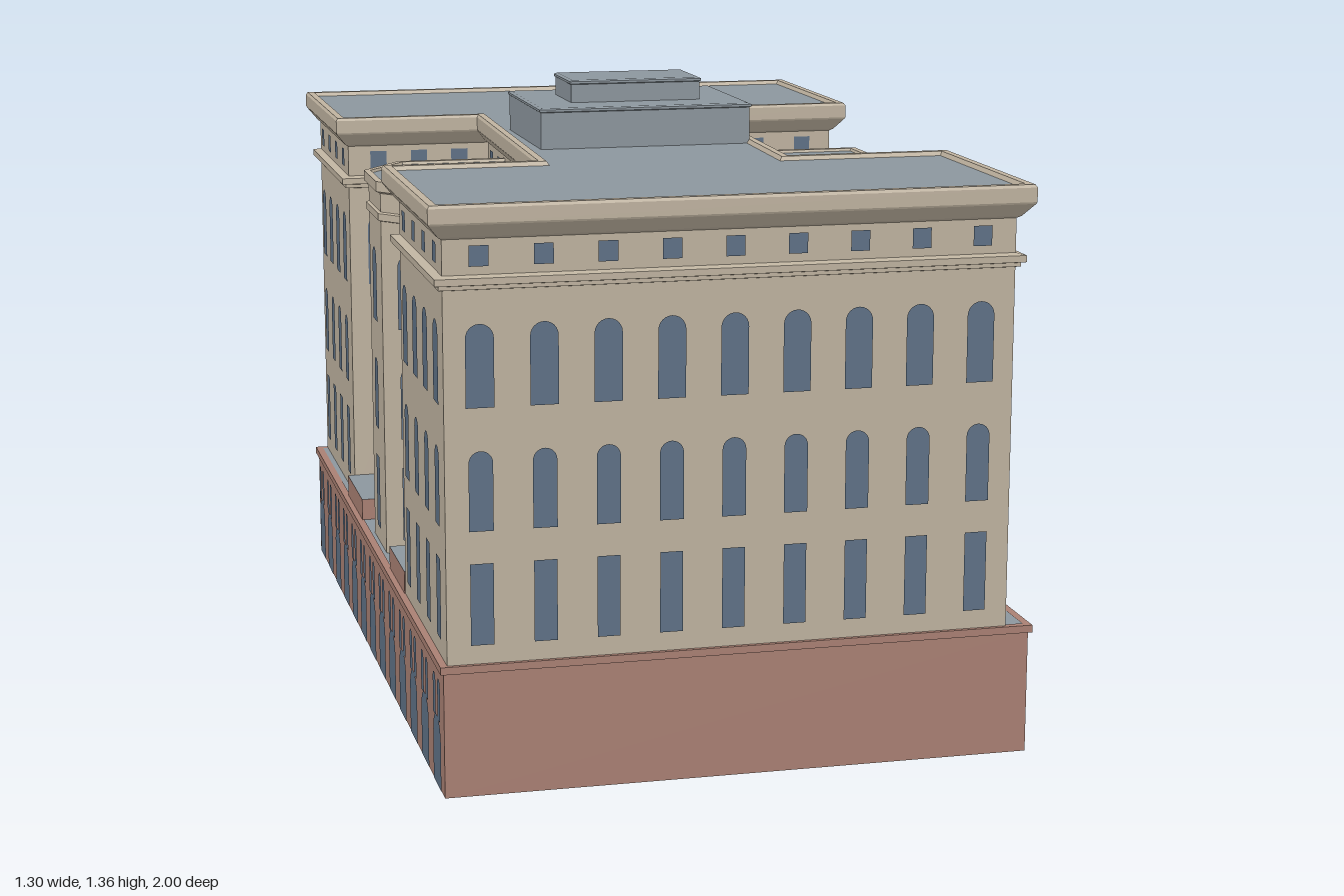
import * as THREE from 'three';
import { mergeGeometries } from 'three/addons/utils/BufferGeometryUtils.js';

const material = (name, color, side = THREE.FrontSide) => {
  const m = new THREE.MeshStandardMaterial({ color, side });
  m.name = name;
  return m;
};

// Outlines are [x, z] corners, anticlockwise seen from above
const rect = (x0, x1, z0, z1) => [[x0, z1], [x1, z1], [x1, z0], [x0, z0]];
const MAIN = [
  [-0.62, 0.97], [0.573, 0.97], [0.573, 0.485], [0.205, 0.485],
  [0.235, -0.475], [0.62, -0.475], [0.62, -0.97], [-0.605, -0.97],
  [-0.605, -0.45], [-0.26, -0.45], [-0.285, 0.44], [-0.62, 0.44],
];
const BLOCK = rect(0.2, 0.59, -0.19, 0.18);
const BAY = [
  [-0.25, 0.225], [-0.51, 0.225], [-0.61, 0.1], [-0.61, -0.08],
  [-0.515, -0.205], [-0.25, -0.205],
].reverse();
const BASE = rect(-0.628, 0.623, -0.972, 0.972);

function edgeNormal(a, b) {
  const dx = b[0] - a[0], dz = b[1] - a[1], l = Math.hypot(dx, dz);
  return [-dz / l, dx / l];
}

// Mitred offset of an outline
function offset(poly, d) {
  const n = poly.length;
  return poly.map((p, i) => {
    const a = edgeNormal(poly[(i + n - 1) % n], p);
    const b = edgeNormal(p, poly[(i + 1) % n]);
    const k = d / (1 + a[0] * b[0] + a[1] * b[1]);
    return [p[0] + (a[0] + b[0]) * k, p[1] + (a[1] + b[1]) * k];
  });
}

// Sweep a profile of [offset, y] pairs around an outline
function sweep(poly, profile) {
  const rings = profile.map(([d, y]) => offset(poly, d).map(([x, z]) => [x, y, z]));
  const pos = [];
  for (let k = 0; k + 1 < rings.length; k++) {
    for (let i = 0; i < poly.length; i++) {
      const j = (i + 1) % poly.length;
      const a = rings[k][i], b = rings[k][j], c = rings[k + 1][j], d = rings[k + 1][i];
      pos.push(...a, ...b, ...c, ...a, ...c, ...d);
    }
  }
  const g = new THREE.BufferGeometry();
  g.setAttribute('position', new THREE.Float32BufferAttribute(pos, 3));
  g.computeVertexNormals();
  return g;
}

// Flat roof filling an outline
function cap(poly, y) {
  const shape = new THREE.Shape(poly.map(([x, z]) => new THREE.Vector2(x, -z)));
  return new THREE.ShapeGeometry(shape).rotateX(-Math.PI / 2).translate(0, y, 0);
}

// Window pane, square or round headed
function pane(w, y0, y1, arched) {
  const s = new THREE.Shape(), r = w / 2;
  s.moveTo(-r, y0);
  s.lineTo(r, y0);
  if (arched) {
    s.lineTo(r, y1 - r);
    s.absarc(0, y1 - r, r, 0, Math.PI, false);
  } else {
    s.lineTo(r, y1);
    s.lineTo(-r, y1);
  }
  s.closePath();
  return new THREE.ShapeGeometry(s, 6);
}

const FLOORS = [pane(0.048, 0.32, 0.49), pane(0.05, 0.557, 0.722, true), pane(0.058, 0.81, 0.98, true)];
const WITH_ATTIC = [...FLOORS, pane(0.04, 1.095, 1.137)];
const CELLAR = [pane(0.046, 0.148, 0.235)];
const ARCADE = [
  pane(0.092, 0.005, 0.155, true),
  pane(0.032, 0.15, 0.24, true).translate(-0.027, 0, 0),
  pane(0.032, 0.15, 0.24, true).translate(0.027, 0, 0),
];

// Evenly spaced distances along a wall
function spread(length, n, margin = 0.073) {
  if (n === 1) return [length / 2];
  return Array.from({ length: n }, (_, i) => margin + (length - 2 * margin) * i / (n - 1));
}

// Window columns on the wall from a to b; n is a count or a list of fractions
function facade(a, b, n, panes) {
  const [nx, nz] = edgeNormal(a, b);
  const length = Math.hypot(b[0] - a[0], b[1] - a[1]);
  const stops = Array.isArray(n) ? n.map((f) => f * length) : spread(length, n);
  const out = [];
  for (const s of stops) {
    const t = s / length;
    for (const p of panes) {
      out.push(p.clone().rotateY(Math.atan2(nx, nz)).translate(
        a[0] + (b[0] - a[0]) * t + nx * 0.003, 0, a[1] + (b[1] - a[1]) * t + nz * 0.003));
    }
  }
  return out;
}

export function createModel() {
  const model = new THREE.Group();
  model.name = 'building';
  const stone = material('stone', 0xbfb3a0);
  const brick = material('red brick', 0xa98073, THREE.DoubleSide);
  const roof = material('slate roof', 0x8c969d, THREE.DoubleSide);
  const glass = material('window glass', 0x5f7186);

  const add = (name, geometry, mat, parent = model) => {
    const m = new THREE.Mesh(geometry, mat);
    m.name = name;
    parent.add(m);
    return m;
  };
  const addWindows = (name, poly, counts, panes, parent) => {
    const list = [];
    counts.forEach((n, i) => {
      if (n) list.push(...facade(poly[i], poly[(i + 1) % poly.length], n, panes));
    });
    add(name, mergeGeometries(list), glass, parent);
  };
  const group = (name) => {
    const g = new THREE.Group();
    g.name = name;
    model.add(g);
    return g;
  };

  // Hollow brick base with a projecting ledge
  const base = group('base');
  add('baseWalls', sweep(BASE, [[0, 0], [0, 0.264], [0.007, 0.264], [0.007, 0.28], [-0.01, 0.28]]), brick, base);
  add('terrace', cap(BASE, 0.279), roof, base);
  addWindows('cellarWindows', BASE, [0, 13, 0, 0], CELLAR, base);
  addWindows('backArcade', BASE, [0, 0, 9, 0], ARCADE, base);
  addWindows('leftArcade', BASE, [0, 0, 0, 13], ARCADE, base);

  // Raised court floors either side of the bay
  for (const [z0, z1] of [[-0.45, -0.205], [0.225, 0.44]]) {
    const court = rect(-0.622, -0.26, z0, z1);
    add('courtStep', sweep(court, [[0, 0.28], [0, 0.33]]), brick);
    add('courtFloor', cap(court, 0.33), roof);
  }

  // H-shaped main body
  const body = group('mainBody');
  add('walls', sweep(MAIN, [[0, 0.28], [0, 1.16]]), stone, body);
  add('stringCourse', sweep(MAIN, [[0, 1.048], [0.009, 1.05], [0.009, 1.058], [0.018, 1.06], [0.018, 1.074], [0, 1.078]]), stone, body);
  add('cornice', sweep(MAIN, [[0, 1.15], [0.008, 1.155], [0.03, 1.182], [0.032, 1.186], [0.032, 1.216], [0.028, 1.222], [0.012, 1.222], [0.006, 1.212]]), stone, body);
  add('mainRoof', cap(offset(MAIN, 0.008), 1.213), roof, body);
  const rightRecess = [0.09, 0.225, 0.78, 0.905];
  const leftRecess = [0.075, 0.2, 0.8, 0.925];
  addWindows('mainWindows', MAIN, [9, 4, 3, rightRecess, 3, 4, 9, 4, 3, leftRecess, 3, 4], WITH_ATTIC, body);

  // Lower projections: square block on one side, faceted bay on the other
  const projection = (name, poly, counts) => {
    const g = group(name);
    add('walls', sweep(poly, [[0, 0.28], [0, 1.125]]), stone, g);
    add('band', sweep(poly, [[0, 1.052], [0.006, 1.054], [0.006, 1.07], [0, 1.073]]), stone, g);
    add('coping', sweep(poly, [[0, 1.115], [0.01, 1.12], [0.01, 1.143], [-0.005, 1.143], [-0.008, 1.136]]), stone, g);
    add('roof', cap(poly, 1.137), roof, g);
    addWindows('windows', poly, counts, FLOORS, g);
  };
  projection('rightBlock', BLOCK, [3, 3, 3, 0]);
  projection('leftBay', BAY, [2, 1, 1, 1, 2, 0]);

  // Stepped rooftop penthouse
  const penthouse = group('penthouse');
  const tiers = [
    ['lowerTier', rect(-0.26, 0.23, -0.19, 0.18), 1.21, 1.305],
    ['upperTier', rect(-0.17, 0.137, -0.092, 0.085), 1.3, 1.356],
  ];
  for (const [name, poly, y0, y1] of tiers) {
    add(name, sweep(poly, [[-0.003, y0], [-0.003, y1 - 0.01], [0, y1 - 0.008], [0, y1 - 0.003], [-0.006, y1]]), roof, penthouse);
    add(name + 'Top', cap(offset(poly, -0.006), y1), roof, penthouse);
  }
  return model;
}
